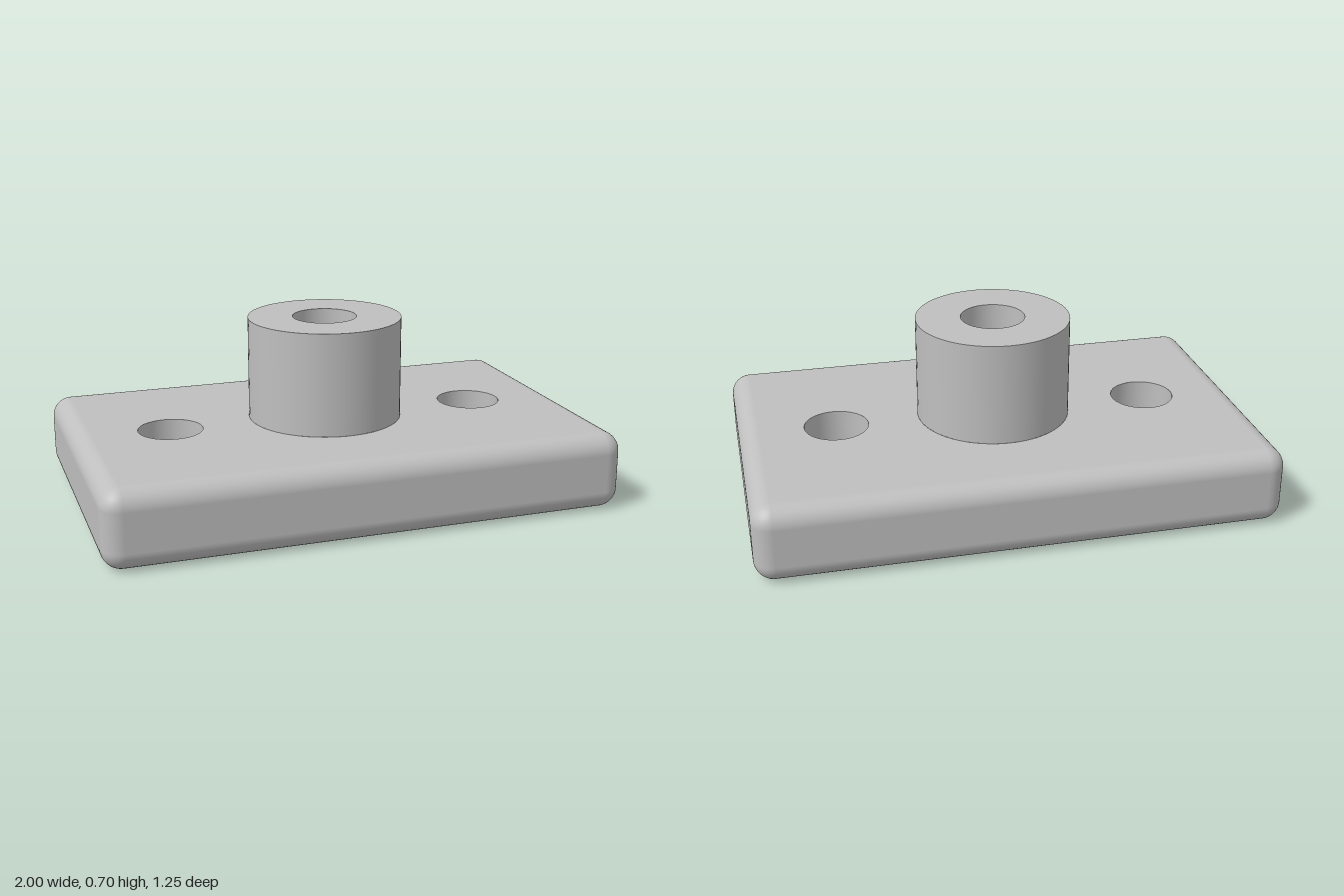
import * as THREE from 'three';

const HALF_X = 1, HALF_Z = 0.625, PLATE_H = 0.3, ROUND = 0.075;
const BORE_R = 0.125, BORE_X = 0.625, BOSS_R = 0.3, BOSS_TOP = 0.7, SEGMENTS = 64;

// Fully rounded side wall of the plate: stacked rounded-rectangle loops
function plateRim() {
  const steps = 10, position = [], normal = [], index = [];
  const cx = HALF_X - ROUND, cz = HALF_Z - ROUND;
  const signs = [[1, 1], [-1, 1], [-1, -1], [1, -1]];
  const rows = 2 * (steps + 1), cols = 4 * (steps + 1);
  for (let i = 0; i < rows; i++) {
    const upper = i > steps;
    const a = (i - (upper ? 1 : 0) - steps) / steps * Math.PI / 2;
    const y = (upper ? PLATE_H - ROUND : ROUND) + ROUND * Math.sin(a);
    signs.forEach(([sx, sz], corner) => {
      for (let j = 0; j <= steps; j++) {
        const t = (corner + j / steps) * Math.PI / 2;
        const nx = Math.cos(a) * Math.cos(t), nz = Math.cos(a) * Math.sin(t);
        position.push(sx * cx + ROUND * nx, y, sz * cz + ROUND * nz);
        normal.push(nx, Math.sin(a), nz);
      }
    });
  }
  for (let i = 0; i < rows - 1; i++) {
    for (let j = 0; j < cols; j++) {
      const p = i * cols + j, next = i * cols + (j + 1) % cols;
      index.push(p, p + cols, next, p + cols, next + cols, next);
    }
  }
  const geometry = new THREE.BufferGeometry();
  geometry.setAttribute('position', new THREE.Float32BufferAttribute(position, 3));
  geometry.setAttribute('normal', new THREE.Float32BufferAttribute(normal, 3));
  geometry.setIndex(index);
  return geometry;
}

// Flat plate face with three round openings
function plateFace(centreRadius) {
  const x = HALF_X - ROUND, z = HALF_Z - ROUND;
  const shape = new THREE.Shape();
  shape.moveTo(-x, -z).lineTo(x, -z).lineTo(x, z).lineTo(-x, z).closePath();
  for (const [hx, r] of [[-BORE_X, BORE_R], [0, centreRadius], [BORE_X, BORE_R]]) {
    shape.holes.push(new THREE.Path().absarc(hx, 0, r, 0, Math.PI * 2, true));
  }
  return new THREE.ShapeGeometry(shape, SEGMENTS);
}

// Surface of revolution between two [radius, height] points
function revolve(from, to) {
  return new THREE.LatheGeometry([new THREE.Vector2(...from), new THREE.Vector2(...to)], SEGMENTS);
}

export function createModel() {
  const grey = new THREE.MeshStandardMaterial({ color: 0xbfbfbf });
  grey.name = 'plainGrey';

  const model = new THREE.Group();
  model.name = 'mountingPlate';
  const plate = new THREE.Group();
  plate.name = 'plate';
  const boss = new THREE.Group();
  boss.name = 'boss';
  model.add(plate, boss);

  const add = (parent, name, geometry) => {
    const mesh = new THREE.Mesh(geometry, grey);
    mesh.name = name;
    parent.add(mesh);
    return mesh;
  };

  // Base plate
  add(plate, 'roundedRim', plateRim());
  add(plate, 'topFace', plateFace(BOSS_R).rotateX(-Math.PI / 2).translate(0, PLATE_H, 0));
  add(plate, 'bottomFace', plateFace(BORE_R).rotateX(Math.PI / 2));

  // Screw holes through the plate
  for (const side of [-1, 1]) {
    add(plate, side > 0 ? 'leftScrewHole' : 'rightScrewHole',
      revolve([BORE_R, PLATE_H], [BORE_R, 0])).position.x = side * BORE_X;
  }

  // Hollow boss, its bore running through the plate
  add(boss, 'bossWall', revolve([BOSS_R, PLATE_H], [BOSS_R, BOSS_TOP]));
  add(boss, 'bossTop', revolve([BOSS_R, BOSS_TOP], [BORE_R, BOSS_TOP]));
  add(boss, 'bossBore', revolve([BORE_R, BOSS_TOP], [BORE_R, 0]));

  return model;
}
